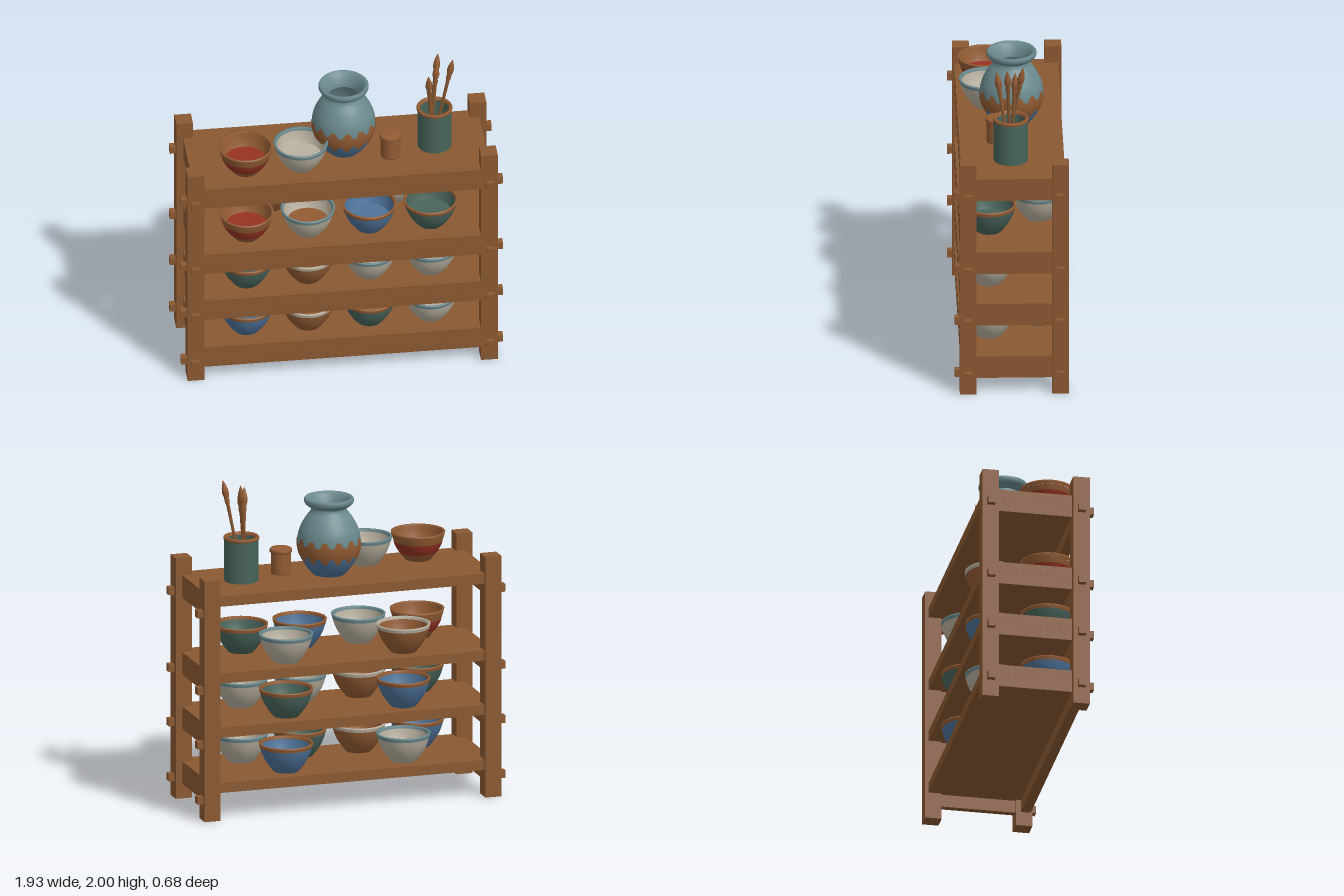
import * as THREE from 'three';

const mat = (name, color) => Object.assign(new THREE.MeshStandardMaterial({ color }), { name });

export function createModel() {
  const wood = mat('wood', 0x8a5932);
  const clay = mat('clay', 0x925b33);
  const red = mat('redGlaze', 0x963222);
  const cream = mat('creamGlaze', 0xb8b09f);
  const blue = mat('blueGlaze', 0x4d7298);
  const green = mat('greenGlaze', 0x48645a);
  const teal = mat('tealGlaze', 0x6a898d);

  const model = new THREE.Group();
  model.name = 'potteryRack';

  const box = (name, w, h, d, x, y, z, parent = model) => {
    const m = new THREE.Mesh(new THREE.BoxGeometry(w, h, d), wood);
    m.name = name;
    m.position.set(x, y, z);
    parent.add(m);
  };
  const lathe = (name, pts, material, parent, segments = 40) => {
    const g = new THREE.LatheGeometry(pts.map(([r, y]) => new THREE.Vector2(r, y)), segments);
    const m = new THREE.Mesh(g, material);
    m.name = name;
    parent.add(m);
    return m;
  };
  const group = (name, x, y, z) => {
    const g = new THREE.Group();
    g.name = name;
    g.position.set(x, y, z);
    model.add(g);
    return g;
  };

  // Rack: corner posts, then boards, rails and pegs at each level
  const FRONT = 0.26, BACK = -0.29, POST_X = 0.88;
  const levels = [0.228, 0.568, 0.903, 1.378];
  for (const s of [-1, 1])
    for (const z of [FRONT, BACK]) box('post', 0.1, 1.485, 0.1, s * POST_X, 0.7425, z);
  for (const top of levels) {
    const railY = top - 0.101;
    box('shelfBoard', 1.776, 0.062, 0.6, 0, top - 0.031, -0.02);
    box('frontRail', 1.66, 0.078, 0.06, 0, railY, 0.27);
    box('boardLip', 1.66, 0.06, 0.02, 0, top - 0.032, 0.288);
    for (const s of [-1, 1]) {
      box('sideRail', 0.04, 0.078, 0.46, s * 0.867, railY, -0.015);
      box('frontPeg', 0.046, 0.046, 0.04, s * 0.885, railY, 0.32);
      for (const z of [FRONT, BACK]) box('sidePeg', 0.045, 0.046, 0.046, s * 0.943, railY, z);
    }
  }

  // Bowls: outer wall, rim, inner wall and a glazed inside
  const bowlCurve = new THREE.SplineCurve([
    [0.076, 0], [0.104, 0.035], [0.132, 0.08], [0.15, 0.125], [0.162, 0.173],
  ].map(p => new THREE.Vector2(...p)));
  const bowlPts = bowlCurve.getPoints(32);
  const bowlR = (y) => {
    const i = Math.max(1, bowlPts.findIndex(p => p.y >= y));
    const a = bowlPts[i - 1], b = bowlPts[i];
    return a.x + (b.x - a.x) * (y - a.y) / (b.y - a.y);
  };
  const wall = (y0, y1, offset, n = 8) => Array.from({ length: n + 1 }, (_, i) => {
    const y = y0 + (y1 - y0) * i / n;
    return [bowlR(y) + offset, y];
  });
  const bowl = (x, y, z, body, rim, inside, band) => {
    const g = group('bowl', x, y, z);
    lathe('bowlBase', [[0, 0.001], [0.076, 0.001]], body, g);
    lathe('bowlWall', wall(0, 0.148, 0), body, g);
    lathe('bowlRim', [...wall(0.148, 0.172, 0.001, 3), [0.152, 0.173], ...wall(0.168, 0.155, -0.012, 2)], rim, g);
    lathe('bowlInnerWall', wall(0.155, 0.08, -0.012), body, g);
    lathe('bowlInside', [[0.121, 0.082], [0.08, 0.077], [0, 0.075]], inside, g);
    if (band) lathe('bowlBand', wall(0.045, 0.115, 0.002), band, g);
  };

  // Each shelf: four bowls in front, two between them behind
  const redBowl = [clay, clay, red, red];
  const creamBowl = [cream, teal, cream];
  const creamClay = [cream, teal, clay];
  const blueBowl = [blue, clay, blue];
  const greenBowl = [green, clay, green];
  const clayBowl = [clay, cream, clay];
  const rows = [
    { front: [blueBowl, clayBowl, [green, clay, clay], creamBowl], back: [creamBowl, blueBowl] },
    { front: [greenBowl, clayBowl, creamBowl, creamBowl], back: [[blue, clay, green], [green, clay, clay]] },
    { front: [redBowl, creamClay, blueBowl, greenBowl], back: [clayBowl, creamBowl] },
  ];
  rows.forEach(({ front, back }, i) => {
    front.forEach((style, k) => bowl(-0.555 + 0.368 * k, levels[i], 0.128, ...style));
    back.forEach((style, k) => bowl(-0.37 + 0.735 * k, levels[i], -0.172, ...style));
  });
  const TOP = levels[3];
  bowl(-0.56, TOP, 0.125, ...redBowl);
  bowl(-0.228, TOP, 0.125, ...creamBowl);

  // Vase: belly below the band in blue, the rest teal
  const vase = group('vase', 0.046, TOP, -0.02);
  const vasePts = new THREE.SplineCurve([
    [0.095, 0], [0.138, 0.05], [0.176, 0.12], [0.19, 0.19], [0.18, 0.265], [0.148, 0.335], [0.112, 0.385], [0.104, 0.408],
  ].map(p => new THREE.Vector2(...p))).getPoints(56);
  const vaseR = (y) => {
    const i = Math.max(1, vasePts.findIndex(p => p.y >= y));
    const a = vasePts[i - 1], b = vasePts[i];
    return a.x + (b.x - a.x) * (y - a.y) / (b.y - a.y);
  };
  const split = vasePts.findIndex(p => p.y > 0.16);
  const xy = (p) => [p.x, p.y];
  lathe('vaseBase', [[0, 0.001], [0.095, 0.001]], blue, vase);
  lathe('vaseLower', vasePts.slice(0, split + 1).map(xy), blue, vase, 56);
  lathe('vaseUpper', vasePts.slice(split).map(xy), teal, vase, 56);
  lathe('vaseLip', [[0.104, 0.408], [0.122, 0.418], [0.142, 0.434], [0.149, 0.448], [0.149, 0.464],
    [0.143, 0.471], [0.132, 0.47], [0.114, 0.452], [0.09, 0.41], [0.088, 0.385]], teal, vase, 48);
  lathe('vaseInside', [[0.088, 0.385], [0.12, 0.33], [0.165, 0.22], [0.14, 0.1], [0.08, 0.03], [0, 0.03]], teal, vase);

  // Painted band with a scalloped edge that follows the belly
  const band = lathe('vaseBand', [0, 1, 2, 3, 4, 5, 6].map(i => [0.19, i / 6]), clay, vase, 168);
  const pos = band.geometry.attributes.position;
  for (let i = 0; i < pos.count; i++) {
    const a = Math.atan2(pos.getX(i), pos.getZ(i));
    const wave = Math.max(-0.6, Math.min(0.6, Math.cos(a * 14))) / 0.6;
    const y = 0.163 + (pos.getY(i) - 0.5) * 2 * (0.053 + 0.018 * wave);
    const r = vaseR(y) + 0.003;
    pos.setXYZ(i, Math.sin(a) * r, y, Math.cos(a) * r);
  }
  band.geometry.computeVertexNormals();

  // Small lidded jar
  const jar = group('smallJar', 0.316, TOP, 0.075);
  lathe('jarBody', [[0, 0], [0.059, 0], [0.06, 0.005], [0.06, 0.13]], clay, jar, 32);
  lathe('jarLid', [[0.06, 0.128], [0.067, 0.133], [0.067, 0.148], [0.061, 0.156], [0, 0.157]], clay, jar, 32);

  // Brush pot with a clay rim
  const pot = group('brushPot', 0.589, TOP, -0.002);
  lathe('potBase', [[0, 0.001], [0.102, 0.001]], green, pot);
  lathe('potWall', [[0.102, 0], [0.102, 0.255]], green, pot);
  lathe('potRim', [[0.102, 0.253], [0.107, 0.257], [0.107, 0.268], [0.103, 0.273], [0.088, 0.273], [0.086, 0.255]], clay, pot);
  lathe('potInnerWall', [[0.086, 0.255], [0.086, 0.14]], green, pot);
  lathe('potInside', [[0.086, 0.14], [0, 0.14]], teal, pot);

  // Brushes, each from its foot in the pot to its tip
  const up = new THREE.Vector3(0, 1, 0);
  [
    [0.566, 0.02, 0.543, 1.93, 0.082],
    [0.555, 0.005, 0.619, 1.985, -0.075],
    [0.6, 0.005, 0.697, 2.0, 0.022],
    [0.575, -0.01, 0.606, 1.95, -0.028],
  ].forEach(([x, z, tx, ty, tz]) => {
    const foot = new THREE.Vector3(x, 1.5, z);
    const dir = new THREE.Vector3(tx, ty, tz).sub(foot);
    const L = dir.length();
    const brush = group('brush', x, 1.5, z);
    brush.quaternion.setFromUnitVectors(up, dir.normalize());
    lathe('brushHandle', [[0, 0], [0.007, 0.001], [0.011, L - 0.15]], wood, brush, 12);
    lathe('brushFerrule', [[0.011, L - 0.15], [0.015, L - 0.145], [0.015, L - 0.115]], clay, brush, 12);
    lathe('brushBristles', [[0.014, L - 0.115], [0.021, L - 0.085], [0.018, L - 0.055], [0.009, L - 0.025], [0, L]], clay, brush, 12);
  });

  return model;
}
